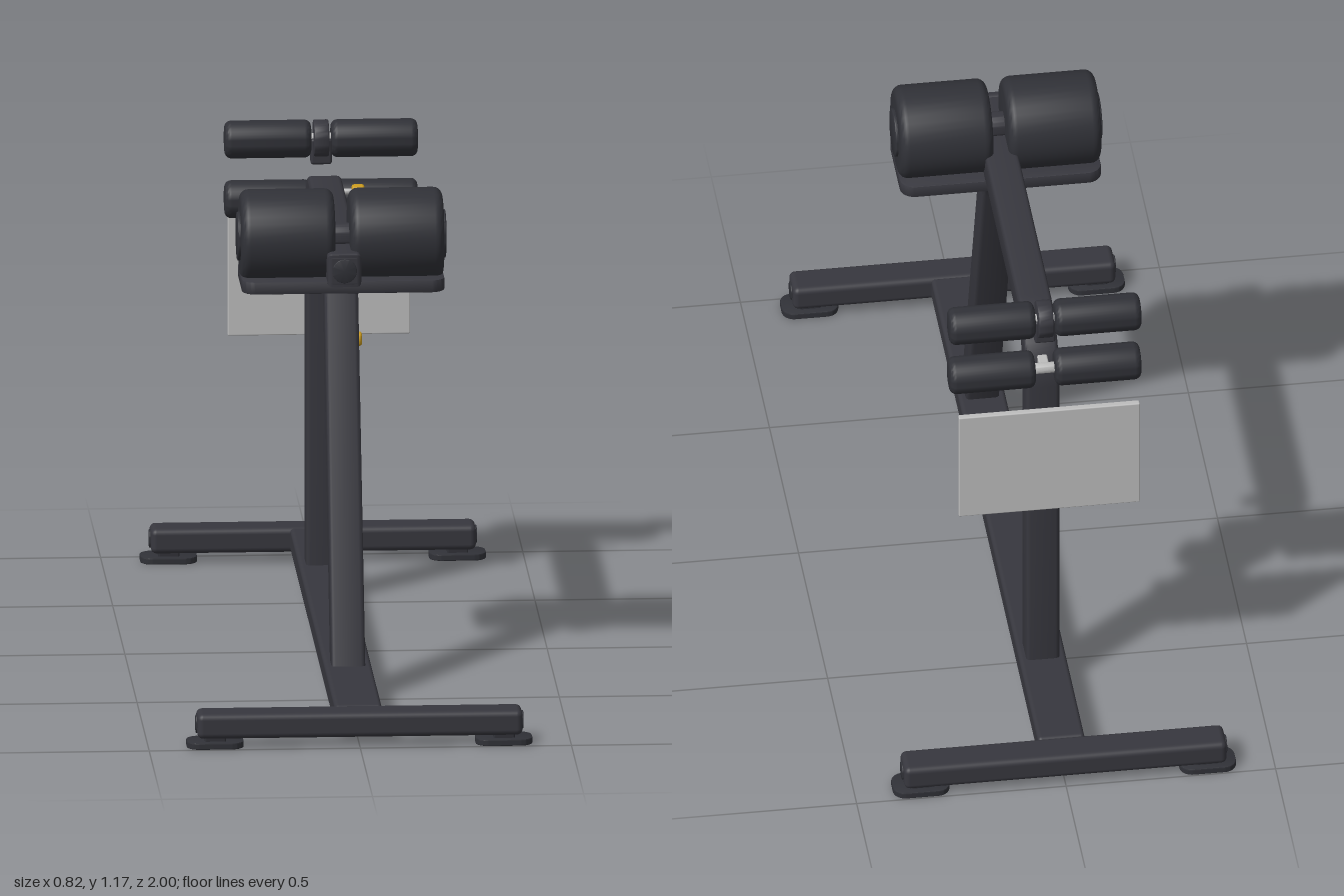
import * as THREE from 'three';
import { RoundedBoxGeometry } from 'three/addons/geometries/RoundedBoxGeometry.js';
import { toCreasedNormals } from 'three/addons/utils/BufferGeometryUtils.js';

const mat = (name, color) => {
  const m = new THREE.MeshStandardMaterial({ color });
  m.name = name;
  return m;
};

export function createModel() {
  const frame = mat('charcoal frame', 0x37373e);
  const vinyl = mat('black vinyl', 0x303137);
  const steel = mat('light steel', 0xbdbdbd);
  const brass = mat('brass', 0xc99a1e);
  const model = new THREE.Group();
  model.name = 'backExtensionBench';

  const add = (name, geometry, material, x = 0, y = 0, z = 0) => {
    const mesh = new THREE.Mesh(geometry, material);
    mesh.name = name;
    mesh.position.set(x, y, z);
    model.add(mesh);
    return mesh;
  };
  const block = (name, w, h, d, r, material, x, y, z) =>
    add(name, new RoundedBoxGeometry(w, h, d, 3, r), material, x, y, z);

  // cylinder along x with rounded rims
  const roller = (name, radius, length, rim, material, x, y, z) => {
    const pts = [new THREE.Vector2(0, -length / 2)];
    for (const s of [-1, 1]) for (let i = 0; i <= 5; i++) {
      const a = (s < 0 ? i : 5 - i) / 5 * Math.PI / 2;
      pts.push(new THREE.Vector2(radius - rim + rim * Math.sin(a), s * (length / 2 - rim + rim * Math.cos(a))));
    }
    pts.push(new THREE.Vector2(0, length / 2));
    const g = toCreasedNormals(new THREE.LatheGeometry(pts, 40), 0.6);
    return add(name, g.rotateZ(-Math.PI / 2), material, x, y, z);
  };

  // side profile drawn as (z, y), extruded across x with softened edges
  const profileTube = (name, shape, width) => {
    const b = 0.01;
    const g = new THREE.ExtrudeGeometry(shape, {
      depth: width - 2 * b, bevelEnabled: true, bevelSize: b, bevelOffset: -b,
      bevelThickness: b, bevelSegments: 3, curveSegments: 12,
    });
    g.translate(0, 0, -width / 2 + b).rotateY(-Math.PI / 2);
    return add(name, toCreasedNormals(g, 0.6), frame);
  };

  // flat plate with rounded corners seen from above
  const plate = (name, w, d, h, r, material, x, y, z) => {
    const s = new THREE.Shape();
    const a = w / 2, c = d / 2;
    s.moveTo(-a + r, -c);
    s.lineTo(a - r, -c).absarc(a - r, -c + r, r, -Math.PI / 2, 0);
    s.lineTo(a, c - r).absarc(a - r, c - r, r, 0, Math.PI / 2);
    s.lineTo(-a + r, c).absarc(-a + r, c - r, r, Math.PI / 2, Math.PI);
    s.lineTo(-a, -c + r).absarc(-a + r, -c + r, r, Math.PI, Math.PI * 1.5);
    const g = new THREE.ExtrudeGeometry(s, {
      depth: h - 0.006, bevelSize: 0.003, bevelOffset: -0.003, bevelThickness: 0.003, bevelSegments: 2, curveSegments: 6,
    });
    g.translate(0, 0, -h / 2 + 0.003).rotateX(-Math.PI / 2);
    return add(name, toCreasedNormals(g, 0.6), material, x, y, z);
  };

  // floor frame
  block('floorBeam', 0.112, 0.056, 1.84, 0.01, frame, 0, 0.057, 0);
  for (const s of [-1, 1]) {
    block('crossBar', 0.77, 0.06, 0.086, 0.014, frame, 0, 0.055, s * 0.957);
    for (const e of [-1, 1]) {
      plate('foot', 0.135, 0.085, 0.016, 0.03, vinyl, e * 0.342, 0.008, s * 0.956);
      block('footStem', 0.05, 0.02, 0.05, 0.004, vinyl, e * 0.342, 0.02, s * 0.956);
      roller('barEndCap', 0.022, 0.008, 0.002, vinyl, e * 0.384, 0.055, s * 0.957);
    }
  }

  // top beam bending down into the rear post
  const bend = new THREE.Shape();
  bend.moveTo(0.355, 0.968);
  bend.lineTo(0.355, 1.045);
  bend.lineTo(-0.45, 1.045);
  bend.absarc(-0.45, 0.887, 0.158, Math.PI / 2, Math.PI, false);
  bend.lineTo(-0.608, 0.07);
  bend.lineTo(-0.528, 0.07);
  bend.lineTo(-0.528, 0.887);
  bend.absarc(-0.45, 0.89, 0.078, Math.PI, Math.PI / 2, true);
  profileTube('topBeamAndRearPost', bend, 0.08);
  block('beamEndCap', 0.08, 0.082, 0.025, 0.012, frame, 0, 1.007, 0.343);
  roller('beamEndDisc', 0.029, 0.01, 0.002, vinyl, 0, 1.007, 0.354).rotation.y = Math.PI / 2;

  // leaning front post
  const lean = new THREE.Shape();
  lean.moveTo(0.523, 0.07);
  lean.lineTo(0.437, 0.07);
  lean.lineTo(0.158, 0.885);
  lean.quadraticCurveTo(0.135, 0.945, 0.09, 0.975);
  lean.lineTo(0.208, 0.975);
  profileTube('frontPost', lean, 0.08);

  // hip pads on their tray
  plate('padTray', 0.48, 0.225, 0.03, 0.035, frame, 0, 0.96, 0.212);
  roller('padAxle', 0.03, 0.1, 0.004, frame, 0, 1.06, 0.208);
  for (const s of [-1, 1]) {
    roller('hipPad', 0.111, 0.222, 0.022, vinyl, s * 0.129, 1.061, 0.208);
    roller('hipPadCap', 0.058, 0.02, 0.004, vinyl, s * 0.237, 1.061, 0.208);
  }

  // ankle rollers
  for (const y of [0.955, 1.1]) {
    for (const s of [-1, 1]) roller('ankleRoller', 0.045, 0.205, 0.016, vinyl, s * 0.126, y, -0.622);
    roller('ankleAxle', 0.013, 0.08, 0.002, steel, 0, y, -0.622);
  }
  roller('upperClamp', 0.045, 0.036, 0.004, frame, 0, 1.1, -0.622);
  block('upperClampBlock', 0.05, 0.062, 0.042, 0.006, frame, 0, 1.072, -0.62);
  block('lowerAxleMount', 0.024, 0.024, 0.06, 0.004, steel, 0, 0.955, -0.6);

  // foot plate and its arm
  block('footPlate', 0.432, 0.29, 0.016, 0.003, steel, 0, 0.75, -0.706);
  block('footPlateArm', 0.05, 0.05, 0.11, 0.006, frame, 0, 0.75, -0.65);

  // adjustment knobs
  for (const [y, z] of [[0.625, -0.567], [1.007, -0.465]]) {
    roller('knobStem', 0.007, 0.035, 0.001, steel, 0.052, y, z);
    roller('knob', 0.017, 0.03, 0.006, brass, 0.079, y, z);
  }
  return model;
}
